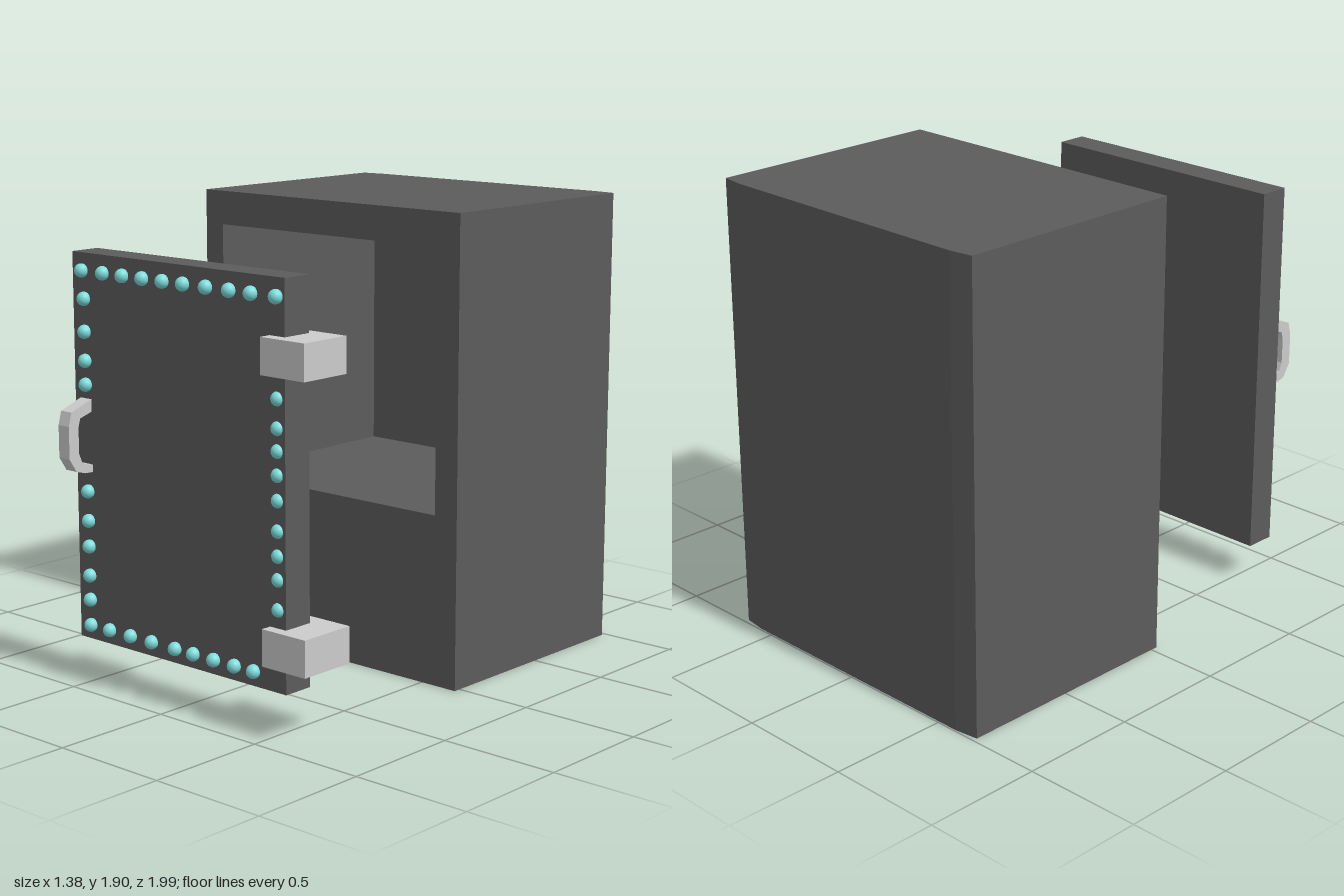
import * as THREE from 'three';

const mat = (color) => new THREE.MeshStandardMaterial({ color, flatShading: true });
const points = (list) => list.map(([x, y]) => new THREE.Vector2(x, y));

export function createModel() {
  const group = new THREE.Group();
  const dark = mat(0x5c5c5c);
  const metal = mat(0xcccccc);
  const teal = new THREE.MeshStandardMaterial({ color: 0x7fdcdc });

  const add = (name, geometry, material, parent = group) => {
    const mesh = new THREE.Mesh(geometry, material);
    mesh.name = name;
    parent.add(mesh);
    return mesh;
  };

  // Box given by its lower and upper corners
  const box = (name, a, b, material, parent) => {
    const mesh = add(name, new THREE.BoxGeometry(b[0] - a[0], b[1] - a[1], b[2] - a[2]), material, parent);
    mesh.position.set((a[0] + b[0]) / 2, (a[1] + b[1]) / 2, (a[2] + b[2]) / 2);
    return mesh;
  };

  // Cabinet body: a block with a deep compartment open at the front
  const cabinet = new THREE.Group();
  cabinet.name = 'cabinet';
  group.add(cabinet);
  const front = new THREE.Shape(points([[-0.69, 0], [0.67, 0], [0.67, 1.9], [-0.69, 1.9]]));
  front.holes.push(new THREE.Path(points([[-0.595, 0.7], [-0.595, 1.76], [0.56, 1.76], [0.56, 0.7]])));
  const body = add('cabinetBody', new THREE.ExtrudeGeometry(front, { depth: 0.97, bevelEnabled: false }), dark, cabinet);
  body.position.z = -0.94;

  // Back wall, its rear face slightly chamfered towards the sides
  const plan = new THREE.Shape(points([
    [-0.69, 0.94], [0.67, 0.94], [0.67, 0.98], [0.57, 0.993], [-0.59, 0.993], [-0.69, 0.98],
  ]));
  const back = add('backWall', new THREE.ExtrudeGeometry(plan, { depth: 1.9, bevelEnabled: false }), dark, cabinet);
  back.rotation.x = -Math.PI / 2;

  // Detached door standing in front of the body
  const door = new THREE.Group();
  door.name = 'door';
  group.add(door);
  box('doorPanel', [-0.58, 0.17, 0.75], [0.55, 1.73, 0.88], dark, door);

  // Hinge blocks
  box('upperHinge', [0.475, 1.375, 0.705], [0.69, 1.515, 0.93], metal, door);
  box('lowerHinge', [0.47, 0.275, 0.68], [0.685, 0.42, 0.925], metal, door);

  // Handle: an angular bow, drawn in (z, y) and extruded across x
  const bow = new THREE.Shape(points([
    [0.875, 1.155], [0.89, 1.15], [0.985, 1.115], [1, 1.06], [1, 0.93], [0.965, 0.875], [0.92, 0.862], [0.875, 0.86],
    [0.875, 0.89], [0.91, 0.895], [0.935, 0.91], [0.95, 0.945], [0.95, 1.05], [0.94, 1.085], [0.875, 1.105],
  ]));
  const handle = add('handle', new THREE.ExtrudeGeometry(bow, { depth: 0.06, bevelEnabled: false }), metal, door);
  handle.rotation.y = -Math.PI / 2;
  handle.position.x = -0.49;

  // Rivets along the four edges of the door
  const rivets = new THREE.Group();
  rivets.name = 'rivets';
  door.add(rivets);
  const ball = new THREE.SphereGeometry(0.028, 20, 14);
  const rivet = (x, y, z = 0.89) => add('rivet', ball, teal, rivets).position.set(x, y, z);
  [-0.52, -0.4, -0.29, -0.18, -0.07, 0.04, 0.16, 0.28, 0.39, 0.515].forEach((x) => rivet(x, 1.66));
  [-0.4, -0.28, -0.16, -0.03, 0.07, 0.18, 0.29, 0.39].forEach((x) => rivet(x, 0.23));
  [1.55, 1.42, 1.305, 1.21, 0.78, 0.66, 0.555, 0.435, 0.335, 0.23].forEach((y) => rivet(-0.51, y));
  [1.285, 1.175, 1.09, 1, 0.905, 0.79, 0.695, 0.605, 0.49].forEach((y) => rivet(0.51, y, 0.875));

  return group;
}
